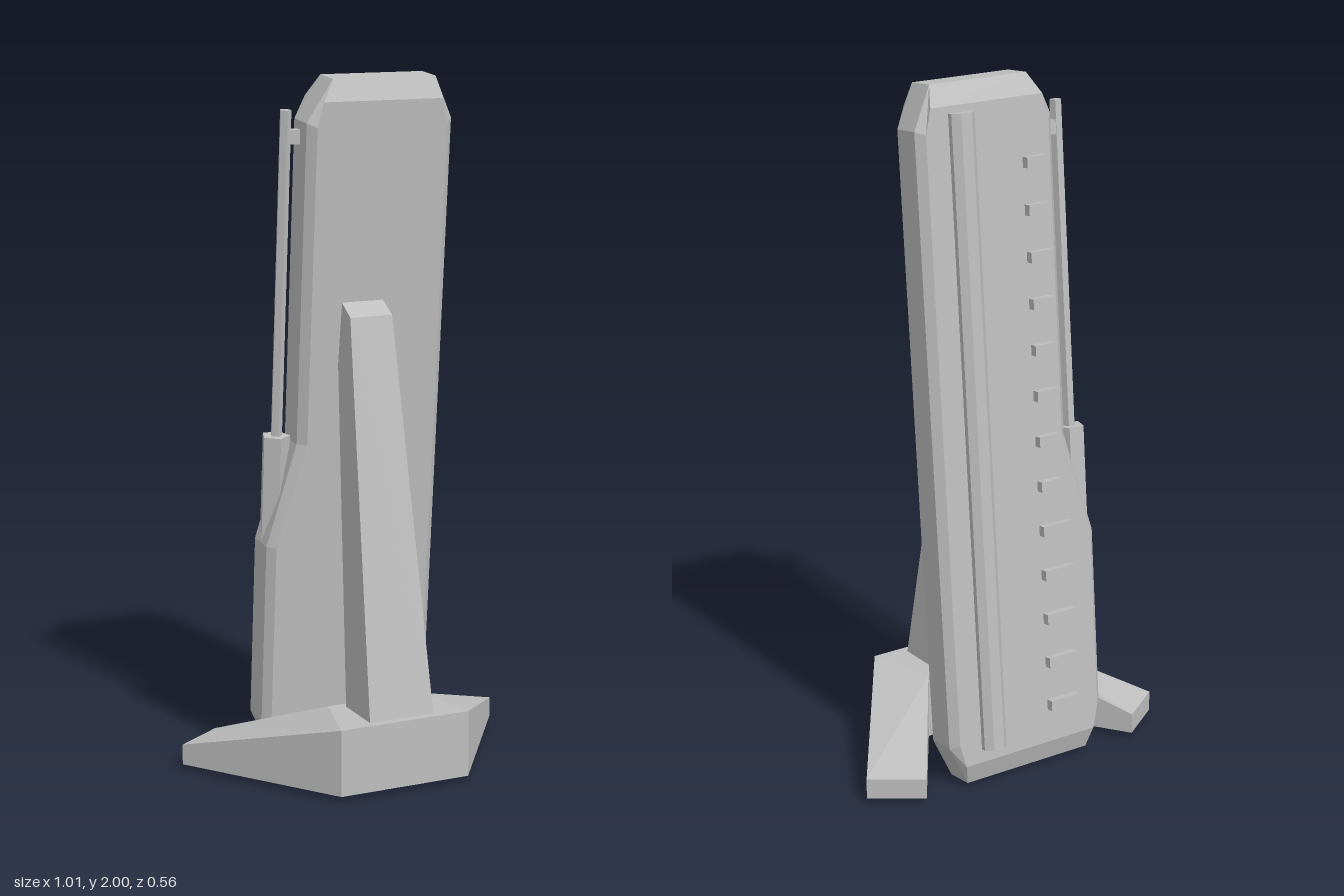
import * as THREE from 'three';

// Closed faceted solid through equal-length loops of [x, y, z] points
function loft(loops) {
  const pos = [];
  const tri = (...pts) => pts.forEach((p) => pos.push(...p));
  const n = loops[0].length;
  const centre = (l) => [0, 1, 2].map((k) => l.reduce((s, p) => s + p[k], 0) / n);
  const first = loops[0], last = loops[loops.length - 1];
  for (let i = 0; i < n; i++) {
    const j = (i + 1) % n;
    for (let s = 0; s < loops.length - 1; s++) {
      const a = loops[s], b = loops[s + 1];
      tri(a[i], a[j], b[j]);
      tri(a[i], b[j], b[i]);
    }
    tri(centre(first), first[j], first[i]);
    tri(centre(last), last[i], last[j]);
  }
  const g = new THREE.BufferGeometry();
  g.setAttribute('position', new THREE.Float32BufferAttribute(pos, 3));
  g.computeVertexNormals();
  return g;
}

export function createModel() {
  const model = new THREE.Group();
  const grey = new THREE.MeshStandardMaterial({ color: 0xbebebe });
  grey.name = 'light grey';
  grey.flatShading = true;
  const add = (parent, name, geometry, x = 0, y = 0, z = 0) => {
    const m = new THREE.Mesh(geometry, grey);
    m.name = name;
    m.position.set(x, y, z);
    parent.add(m);
    return m;
  };

  // Base: V-shaped foot with arms that slope down and backwards
  const foot = (x1, z1, x2, z2, top) => [
    [x1, 0.015, z1], [x1, top, z1], [x2, top, z2], [x2, 0.015, z2],
  ];
  add(model, 'base', loft([
    foot(-0.365, -0.255, -0.505, -0.16, 0.075),
    foot(-0.145, 0.07, -0.2, 0.28, 0.21),
    foot(0.145, 0.07, 0.2, 0.28, 0.21),
    foot(0.365, -0.255, 0.505, -0.16, 0.075),
  ]));

  // Support strut: [y, z] side profile, narrowing towards the top
  const strut = [[0.2, 0.096], [1.2, -0.022], [1.33, -0.03], [1.365, -0.005], [1.33, 0.052], [0.2, 0.256]];
  add(model, 'supportStrut', loft([-1, 1].map((s) =>
    strut.map(([y, z]) => [s * (0.1 - 0.031 * (y - 0.2)), y, z]))));

  // Leaning panel assembly
  const panel = new THREE.Group();
  panel.name = 'leaningPanel';
  panel.position.set(0, 0.004, -0.19);
  panel.rotation.x = 0.088;
  model.add(panel);

  // Slab with a wider lower part and chamfered rim
  const rim = [[-0.21, 0], [0.21, 0], [0.265, 0.12], [0.265, 1.88], [0.21, 2],
    [-0.105, 2], [-0.18, 1.88], [-0.18, 0.96], [-0.265, 0.66], [-0.265, 0.12]];
  const face = [[-0.225, 0.06], [0.225, 0.06], [0.243, 0.13], [0.243, 1.87], [0.225, 1.94],
    [-0.14, 1.94], [-0.157, 1.87], [-0.157, 0.96], [-0.243, 0.66], [-0.243, 0.13]];
  const at = (outline, z) => outline.map(([x, y]) => [x, y, z]);
  add(panel, 'slab', loft([at(face, -0.065), at(rim, -0.042), at(rim, 0.042), at(face, 0.065)]));

  // Long rail on the back
  const rail = [[0.17, -0.05], [0.17, -0.08], [0.15, -0.098], [0.115, -0.098], [0.095, -0.08], [0.095, -0.05]];
  add(panel, 'backRail', loft([0.1, 1.92].map((y) => rail.map(([x, z]) => [x, y, z]))));

  // Row of short ribs, wider on the lower part
  for (let i = 0; i < 13; i++) {
    const width = i < 5 ? 0.1 : 0.07;
    add(panel, 'backRib', new THREE.BoxGeometry(width, 0.03, 0.04),
      -0.065 - width / 2, 0.175 + i * 0.132, -0.067);
  }

  // Side rod with its socket and upper bracket
  add(panel, 'rodSocket', new THREE.CylinderGeometry(0.042, 0.042, 0.42, 5), -0.223, 0.765, -0.012);
  add(panel, 'sideRod', new THREE.CylinderGeometry(0.017, 0.017, 0.98, 5), -0.221, 1.42, -0.012);
  add(panel, 'rodBracket', new THREE.BoxGeometry(0.06, 0.04, 0.025), -0.19, 1.835, -0.012);

  return model;
}
